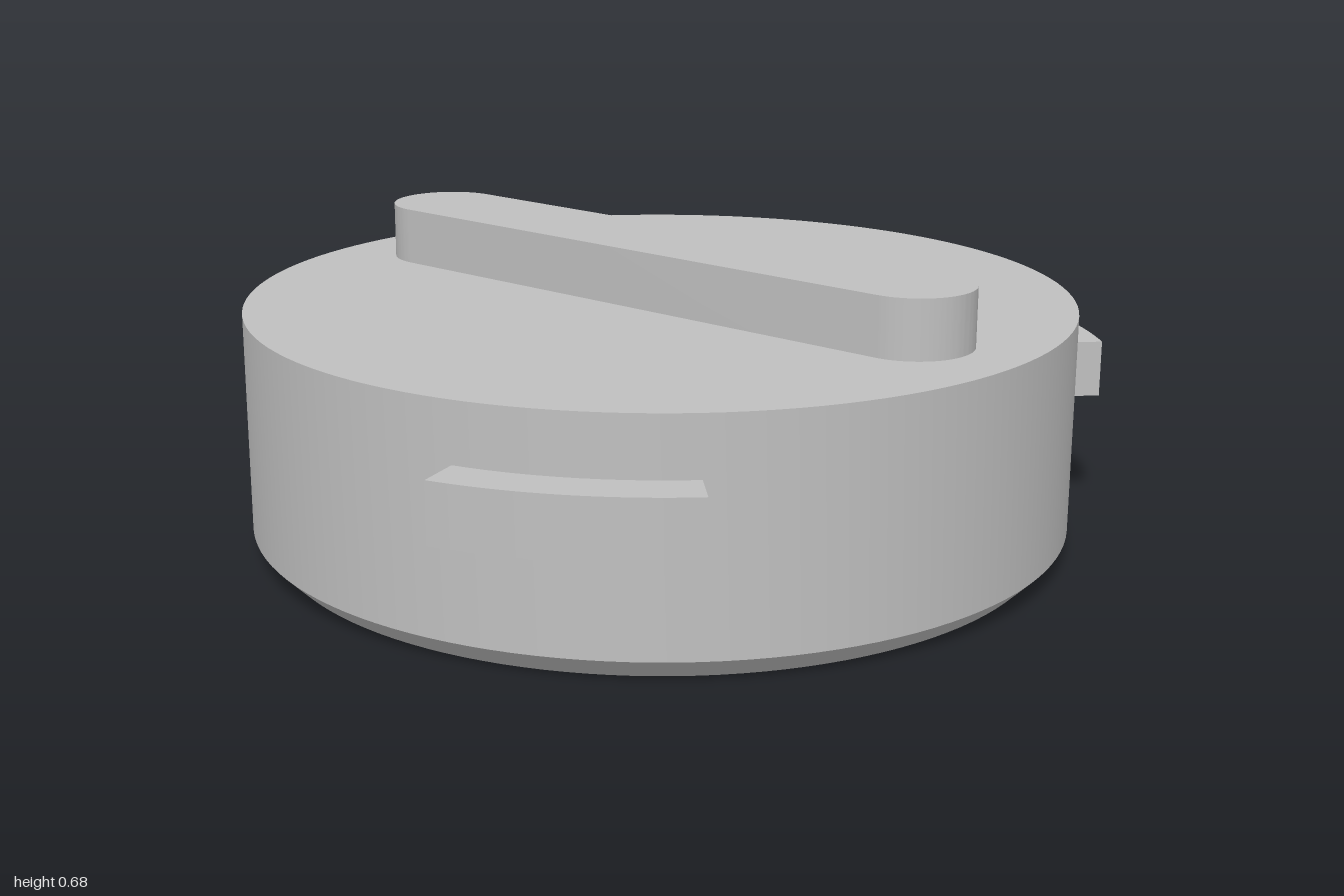
import * as THREE from 'three';
import { toCreasedNormals } from 'three/addons/utils/BufferGeometryUtils.js';

const R = 0.932;        // body radius
const TAB_R = 1.03;     // outer radius of the locking tabs
const CENTRE_Z = 0.047; // body axis

export function createModel() {
  const group = new THREE.Group();
  group.name = 'bayonetCap';
  const grey = new THREE.MeshStandardMaterial({ color: 0xc0c0c0 });
  grey.name = 'plain grey';

  const add = (name, geometry) => {
    const mesh = new THREE.Mesh(toCreasedNormals(geometry, 0.5), grey);
    mesh.name = name;
    mesh.position.z = CENTRE_Z;
    group.add(mesh);
  };

  // Flat outline raised from y0 to y1; outline y points to the back
  const slab = (shape, y0, y1) =>
    new THREE.ExtrudeGeometry(shape, { depth: y1 - y0, bevelEnabled: false, curveSegments: 32 })
      .rotateX(-Math.PI / 2)
      .translate(0, y0, 0);

  // Body with a blind hole underneath and a chamfered lower rim
  const profile = [
    [0, 0.185], [0.263, 0.185], [0.263, 0], [R - 0.05, 0],
    [R, 0.05], [R, 0.545], [0, 0.545],
  ].map(([x, y]) => new THREE.Vector2(x, y));
  add('body', new THREE.LatheGeometry(profile, 128));

  // Round-ended grip bar across the top
  const w = 0.132, reach = 0.81 - w;
  const bar = new THREE.Shape();
  bar.absarc(0, reach, w, 0, Math.PI);
  bar.absarc(0, -reach, w, Math.PI, Math.PI * 2);
  bar.closePath();
  add('gripBar', slab(bar, 0.54, 0.675));

  // Three curved locking tabs, each spanning 30 degrees
  const half = Math.PI / 12;
  ['backTab', 'rightTab', 'leftTab'].forEach((name, i) => {
    const mid = Math.PI / 2 + (i * Math.PI * 2) / 3;
    const tab = new THREE.Shape();
    tab.absarc(0, 0, TAB_R, mid - half, mid + half, false);
    tab.absarc(0, 0, R - 0.03, mid + half, mid - half, true);
    tab.closePath();
    add(name, slab(tab, 0.285, 0.415));
  });

  return group;
}
